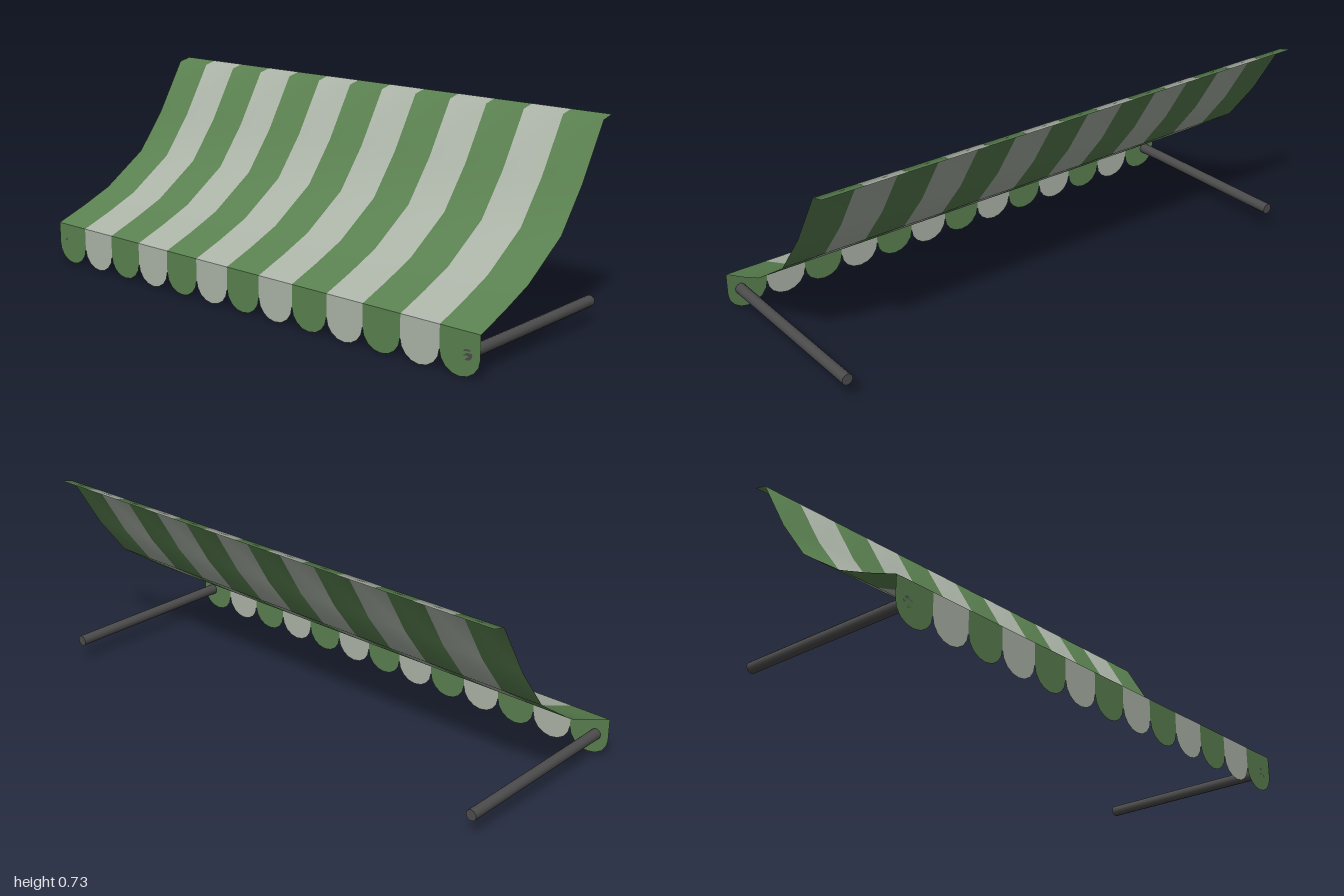
import * as THREE from 'three';

const STRIPES = 13;
const WIDTH = 2 / STRIPES;
const FRONT_Z = 0.355;
const HEM_Y = 0.15;

// Canopy cross-section as [z, y], from the rear lip down to the front hem
const PROFILE = [
  [-0.355, 0.725], [-0.305, 0.713], [-0.19, 0.52], [-0.075, 0.37],
  [0.105, 0.25], [0.23, 0.197], [FRONT_Z, HEM_Y],
];

// One curved strip of cloth: a plane whose rows follow the profile
function canopyStrip() {
  const geo = new THREE.PlaneGeometry(WIDTH, 1, 1, PROFILE.length - 1);
  const pos = geo.attributes.position;
  for (let i = 0; i < pos.count; i++) {
    const [z, y] = PROFILE[Math.floor(i / 2)];
    pos.setXYZ(i, pos.getX(i), y, z);
  }
  geo.computeVertexNormals();
  return geo;
}

// One hanging flap with a rounded lower edge
function valanceFlap() {
  const r = WIDTH / 2;
  const drop = 0.07;
  const shape = new THREE.Shape();
  shape.moveTo(r, HEM_Y);
  shape.lineTo(-r, HEM_Y);
  const segments = 8;
  for (let i = 0; i <= segments; i++) {
    const a = Math.PI + (Math.PI * i) / segments;
    shape.lineTo(Math.cos(a) * r, drop + Math.sin(a) * drop);
  }
  return new THREE.ShapeGeometry(shape);
}

export function createModel() {
  const model = new THREE.Group();
  model.name = 'awning';

  const green = new THREE.MeshStandardMaterial({ color: 0x5a8050, side: THREE.DoubleSide });
  green.name = 'greenCloth';
  const pale = new THREE.MeshStandardMaterial({ color: 0xabb3a7, side: THREE.DoubleSide });
  pale.name = 'paleCloth';
  const metal = new THREE.MeshStandardMaterial({ color: 0x4c4c4c });
  metal.name = 'darkMetal';

  const add = (name, geometry, material, x, y, z) => {
    const mesh = new THREE.Mesh(geometry, material);
    mesh.name = name;
    mesh.position.set(x, y, z);
    model.add(mesh);
    return mesh;
  };

  // Alternating cloth stripes, each ending in its own flap
  const strip = canopyStrip();
  const flap = valanceFlap();
  for (let i = 0; i < STRIPES; i++) {
    const x = -1 + (i + 0.5) * WIDTH;
    const cloth = i % 2 ? pale : green;
    add(`canopyStripe${i + 1}`, strip, cloth, x, 0, 0);
    add(`valanceFlap${i + 1}`, flap, cloth, x, 0, FRONT_Z);
  }

  // Horizontal support rods running from the hem back to the wall
  const rod = new THREE.CylinderGeometry(0.02, 0.02, 2 * FRONT_Z, 12);
  rod.rotateX(Math.PI / 2);
  add('leftSupportRod', rod, metal, 0.95, 0.077, 0);
  add('rightSupportRod', rod, metal, -0.95, 0.077, 0);

  return model;
}
